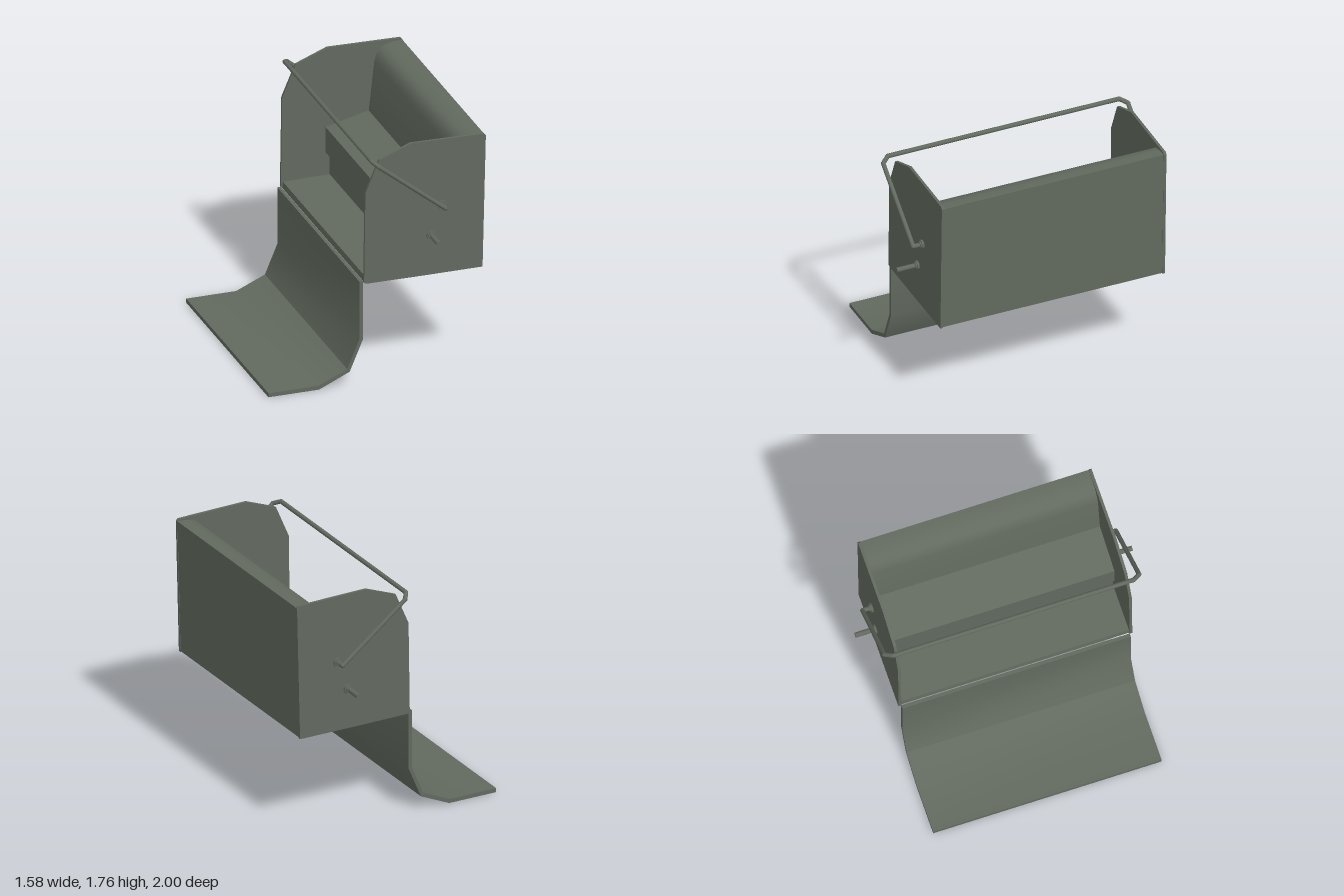
import * as THREE from 'three';
import { toCreasedNormals } from 'three/addons/utils/BufferGeometryUtils.js';

export function createModel() {
  const model = new THREE.Group();
  model.name = 'gondolaSeat';
  const material = new THREE.MeshStandardMaterial({ color: 0x626a5f });
  const OFFSET = -0.005;

  const add = (name, geometry, parent = model) => {
    const mesh = new THREE.Mesh(geometry, material);
    mesh.name = name;
    parent.add(mesh);
    return mesh;
  };

  // Extrude an x/y outline along z, centred on the given z
  const slab = (name, points, depth, z) => {
    const shape = new THREE.Shape(points.map(([x, y]) => new THREE.Vector2(x, y)));
    const geometry = new THREE.ExtrudeGeometry(shape, { depth, bevelEnabled: false });
    geometry.translate(0, 0, z - depth / 2);
    return add(name, toCreasedNormals(geometry, 0.6));
  };

  // Straight round rod between two points
  const rod = (name, a, b, radius, sides, parent) => {
    const dir = b.clone().sub(a);
    const mesh = add(name, new THREE.CylinderGeometry(radius, radius, dir.length(), sides), parent);
    mesh.position.copy(a).add(b).multiplyScalar(0.5);
    mesh.quaternion.setFromUnitVectors(new THREE.Vector3(0, 1, 0), dir.normalize());
    return mesh;
  };
  const V = (x, y, z) => new THREE.Vector3(x, y, z);

  // Floor, stepped bench, rolled backrest and rear wall as one profile
  slab('benchBody', [
    [-0.09, 0.755], [0.76, 0.755], [0.785, 1.735], [0.72, 1.733],
    [0.66, 1.72], [0.62, 1.695], [0.595, 1.655], [0.58, 1.6],
    [0.54, 1.24], [0.225, 1.165], [0.225, 0.975], [0.255, 0.965],
    [0.255, 0.805], [-0.085, 0.8],
  ], 1.66, OFFSET);

  // Side panels
  const panel = [
    [-0.1, 0.76], [-0.08, 0.753], [0.33, 0.75], [0.763, 0.75], [0.787, 1.735],
    [0.775, 1.75], [0.24, 1.76], [0.01, 1.67], [-0.09, 1.435],
  ];
  for (const side of [-1, 1]) slab('sidePanel', panel, 0.02, OFFSET + side * 0.834);

  // Bent footboard
  slab('footboard', [
    [-0.79, 0], [-0.42, 0], [-0.198, 0.1], [-0.1, 0.333], [-0.1, 0.765],
    [-0.126, 0.765], [-0.126, 0.338], [-0.216, 0.122], [-0.425, 0.03], [-0.79, 0.03],
  ], 1.65, OFFSET);

  // Lap bar: pivot stubs, arms, angled corners and cross bar
  const lapBar = new THREE.Group();
  lapBar.name = 'lapBar';
  lapBar.position.z = OFFSET;
  model.add(lapBar);
  const half = [[0.468, 1.265, 0.83], [0.468, 1.265, 0.915], [-0.02, 1.656, 0.92], [-0.055, 1.682, 0.87]];
  const path = [
    ...half.map(([x, y, z]) => V(x, y, z)),
    ...half.slice().reverse().map(([x, y, z]) => V(x, y, -z)),
  ];
  path.slice(1).forEach((p, i) => {
    rod('lapBarSegment', path[i], p, 0.016, 10, lapBar);
    if (i < path.length - 2) add('lapBarJoint', new THREE.SphereGeometry(0.016, 10, 8), lapBar).position.copy(p);
  });

  // Collars and hanging pins on both sides
  for (const side of [-1, 1]) {
    const face = OFFSET + side * 0.84;
    for (const [x, y] of [[0.468, 1.265], [0.387, 1.047]]) {
      rod('collar', V(x, y, face), V(x, y, face + side * 0.02), 0.035, 8, model);
      rod('collarTip', V(x, y, face), V(x, y, face + side * 0.03), 0.026, 8, model);
    }
    rod('hangingPin', V(0.387, 1.047, face), V(0.387, 1.047, side), 0.018, 10, model);
  }

  return model;
}
